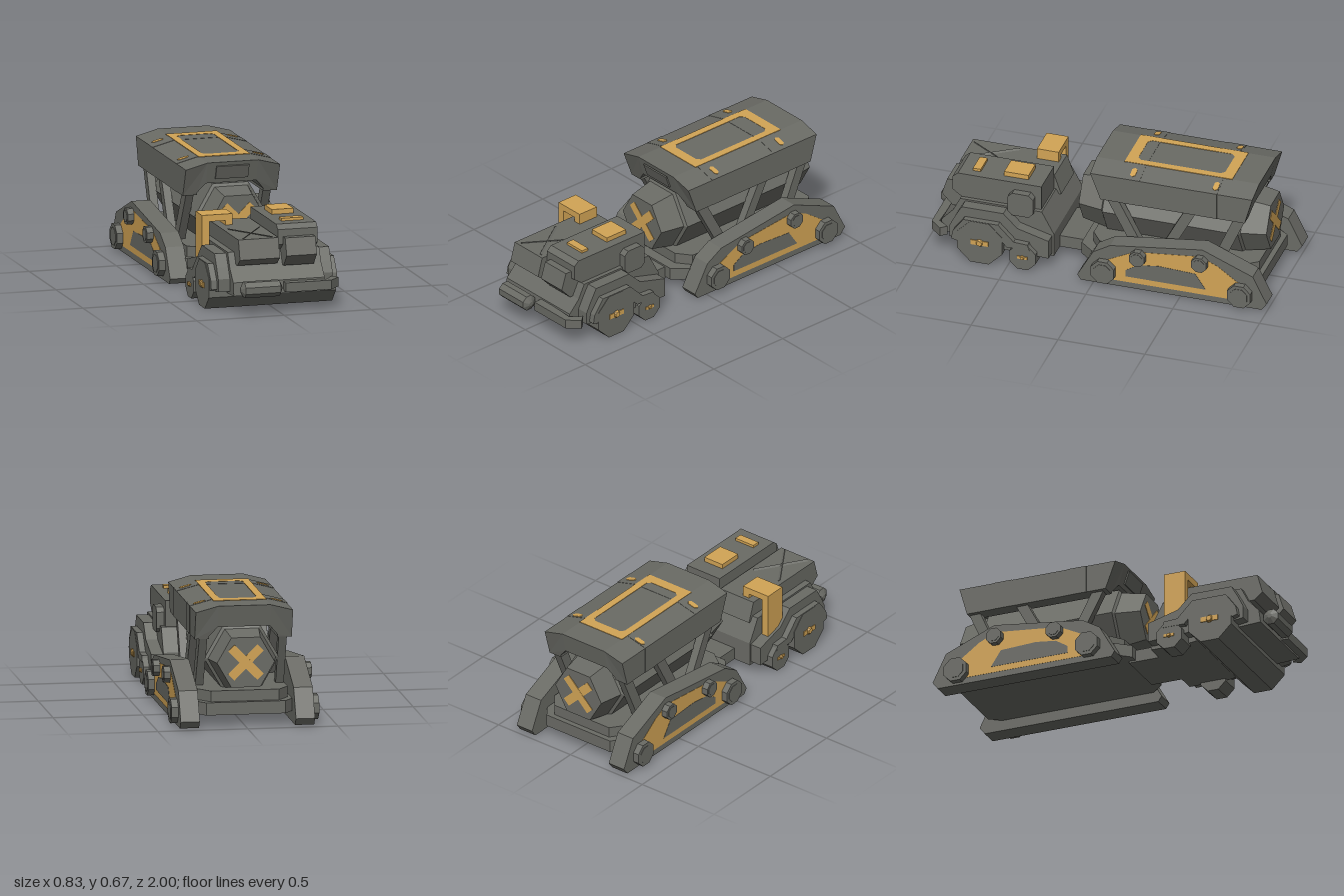
import * as THREE from 'three';

const grey = new THREE.MeshStandardMaterial({ color: 0x6a6b65 });
grey.name = 'gunmetal grey';
const gold = new THREE.MeshStandardMaterial({ color: 0xd2a455 });
gold.name = 'ochre gold';

export function createModel() {
  const root = new THREE.Group();
  root.name = 'armouredTankerTruck';

  // faceted mesh helper
  const add = (name, geo, mat = grey) => {
    const g = geo.index ? geo.toNonIndexed() : geo;
    g.computeVertexNormals();
    const m = new THREE.Mesh(g, mat);
    m.name = name;
    root.add(m);
    return m;
  };
  const box = (name, x0, x1, y0, y1, z0, z1, mat) =>
    add(name, new THREE.BoxGeometry(x1 - x0, y1 - y0, z1 - z0)
      .translate((x0 + x1) / 2, (y0 + y1) / 2, (z0 + z1) / 2), mat);
  const shapeOf = pts => new THREE.Shape(pts.map(p => new THREE.Vector2(p[0], p[1])));
  const extrude = (shape, depth) => new THREE.ExtrudeGeometry(shape, { depth, bevelEnabled: false });
  // side profile of [z, y] points swept from x0 to x1
  const side = (name, pts, x0, x1, mat) =>
    add(name, extrude(shapeOf(pts.map(([z, y]) => [-z, y])), x1 - x0).rotateY(Math.PI / 2).translate(x0, 0, 0), mat);
  // plan outline of [x, z] points swept from y0 to y1
  const plan = (name, pts, y0, y1) =>
    add(name, extrude(shapeOf(pts.map(([x, z]) => [x, -z])), y1 - y0).rotateX(-Math.PI / 2).translate(0, y0, 0));
  // mirrored side profile, x0 < x1 measured on the left
  const pair = (name, pts, x0, x1, mat) => {
    side(name + 'Left', pts, x0, x1, mat);
    side(name + 'Right', pts, -x1, -x0, mat);
  };
  // eight-sided cylinder along x; r is the half width across flats
  const octagon = (r0, r1, width) => {
    const k = 1 / Math.cos(Math.PI / 8);
    return new THREE.CylinderGeometry(r1 * k, r0 * k, width, 8).rotateY(Math.PI / 8).rotateZ(-Math.PI / 2);
  };
  // mirrored discs, r1 is the outer end
  const disc = (name, z, y, r0, r1, x0, x1, mat) => {
    add(name + 'Left', octagon(r0, r1, x1 - x0).translate((x0 + x1) / 2, y, z), mat);
    add(name + 'Right', octagon(r1, r0, x1 - x0).translate(-(x0 + x1) / 2, y, z), mat);
  };
  // square bar between two points
  const bar = (name, a, b, w, d) => {
    const p = new THREE.Vector3(...a), q = new THREE.Vector3(...b);
    const m = add(name, new THREE.BoxGeometry(w, p.distanceTo(q), d));
    m.position.copy(p).add(q).multiplyScalar(0.5);
    m.quaternion.setFromUnitVectors(new THREE.Vector3(0, 1, 0), q.sub(p).normalize());
  };

  // ---- trailer: track pods, side plates and rollers
  pair('trackPod', [[0.07, 0.01], [0.09, 0.04], [0, 0.2], [-0.1, 0.26], [-0.63, 0.33], [-0.92, 0.21],
    [-1, 0.05], [-0.97, 0.01]], 0.267, 0.373);
  pair('trackPlate', [[-0.03, 0.045], [-0.03, 0.14], [-0.24, 0.245], [-0.62, 0.285], [-0.72, 0.24],
    [-0.86, 0.14], [-0.86, 0.045]], 0.37, 0.3745, gold);
  pair('trackInset', [[-0.19, 0.08], [-0.19, 0.12], [-0.26, 0.165], [-0.38, 0.18], [-0.59, 0.17], [-0.65, 0.08]],
    0.372, 0.376);
  for (const [z, y, r] of [[-0.065, 0.1, 0.067], [-0.263, 0.22, 0.044], [-0.62, 0.25, 0.044], [-0.85, 0.09, 0.067]]) {
    disc('trackRoller', z, y, r, r, 0.36, 0.41);
    disc('rollerCap', z, y, r * 0.72, r * 0.72, 0.4, 0.413);
  }

  // ---- trailer chassis, cradle and hitch
  plan('trailerChassis', [[-0.27, 0.04], [-0.2, 0.12], [0.2, 0.12], [0.27, 0.04], [0.27, -0.86], [0.22, -0.93],
    [-0.22, -0.93], [-0.27, -0.86]], 0.07, 0.14);
  plan('tankCradle', [[-0.25, 0], [-0.17, 0.06], [0.17, 0.06], [0.25, 0], [0.25, -0.82], [0.19, -0.9],
    [-0.19, -0.9], [-0.25, -0.82]], 0.13, 0.2);
  box('hitch', -0.155, 0.155, 0.06, 0.13, 0.08, 0.3);

  // ---- hexagonal tank with crosses on both ends
  const tankProfile = [[0, -0.93], [0.16, -0.93], [0.188, -0.79], [0.207, -0.78], [0.207, 0], [0.188, 0.01],
    [0.16, 0.15], [0, 0.15]].map(p => new THREE.Vector2(...p));
  add('tank', new THREE.LatheGeometry(tankProfile, 6, Math.PI / 2).rotateX(Math.PI / 2).translate(0, 0.36, 0));
  for (const z of [0.15, -0.93]) {
    for (const s of [1, -1]) {
      const m = add('tankCross', new THREE.BoxGeometry(0.23, 0.05, 0.006 + s * 0.001), gold);
      m.position.set(0, 0.36, z);
      m.rotation.z = s * Math.PI / 4;
    }
  }

  // ---- canopy: arched section with ends leaning inward towards the bottom
  const section = (g = 0) => [[-0.27 - g, 0.48], [-0.19, 0.48], [-0.19, 0.495], [-0.145, 0.548], [0.145, 0.548],
    [0.19, 0.495], [0.19, 0.48], [0.27 + g, 0.48], [0.27 + g, 0.636 + g], [0.145, 0.669 + g], [-0.145, 0.669 + g],
    [-0.27 - g, 0.636 + g]];
  const canopy = extrude(shapeOf(section()), 1);
  const cp = canopy.attributes.position;
  for (let i = 0; i < cp.count; i++) {
    const lean = Math.max(0, (0.64 - cp.getY(i)) / 0.16);
    cp.setZ(i, cp.getZ(i) > 0.5 ? 0.05 - 0.06 * lean : -0.885 + 0.045 * lean);
  }
  add('canopy', canopy);
  for (const z of [-0.235, -0.68]) add('canopyBand', extrude(shapeOf(section(0.0015)), 0.11).translate(0, 0, z));
  const endPanel = box('canopyEndPanel', -0.095, 0.092, -0.04, 0.04, -0.004, 0.004);
  endPanel.position.set(0, 0.61, 0.04);
  endPanel.rotation.x = 0.35;

  // gold frame and slots on the canopy roof
  const frame = shapeOf([[-0.147, 0.11], [0.147, 0.11], [0.147, 0.73], [-0.147, 0.73]]);
  frame.holes.push(new THREE.Path([[-0.105, 0.19], [-0.085, 0.17], [0.085, 0.17], [0.105, 0.19], [0.105, 0.65],
    [0.085, 0.67], [-0.085, 0.67], [-0.105, 0.65]].map(p => new THREE.Vector2(...p))));
  add('roofFrame', extrude(frame, 0.005).rotateX(-Math.PI / 2).translate(0, 0.667, 0), gold);
  const slot = shapeOf([[-0.034, 0], [-0.022, -0.015], [0.022, -0.015], [0.034, 0], [0.022, 0.015], [-0.022, 0.015]]);
  for (const s of [1, -1]) for (const z of [-0.185, -0.66]) {
    const m = add('roofSlot', extrude(slot, 0.006).rotateX(-Math.PI / 2), gold);
    m.position.set(s * 0.214, 0.6495, z);
    m.rotation.z = -s * 0.258;
  }

  // struts from the cradle up to the canopy
  for (const s of [1, -1]) {
    for (const [zt, zb] of [[-0.06, -0.23], [-0.53, -0.36], [-0.81, -0.67]])
      bar('canopyStrut', [s * 0.222, 0.5, zt], [s * 0.225, 0.18, zb], 0.045, 0.06);
  }

  // ---- tractor body
  side('tractorBody', [[0.26, 0.06], [0.26, 0.2], [0.33, 0.33], [0.8, 0.33], [0.84, 0.25], [0.905, 0.18],
    [0.915, 0.107], [0.78, 0.1], [0.5, 0.06]], -0.262, 0.262);
  pair('upperFender', [[0.27, 0.08], [0.27, 0.19], [0.45, 0.24], [0.53, 0.32], [0.77, 0.32], [0.81, 0.25],
    [0.84, 0.19], [0.84, 0.12], [0.7, 0.1]], 0.25, 0.328);
  pair('wheelArch', [[0.37, 0.13], [0.38, 0.165], [0.46, 0.17], [0.55, 0.262], [0.75, 0.262], [0.81, 0.18],
    [0.82, 0.13], [0.79, 0.12], [0.71, 0.23], [0.6, 0.23], [0.5, 0.13]], 0.3, 0.362);

  // full-width front roller, small rear wheels, gold hubs
  add('frontRoller', octagon(0.129, 0.129, 0.73).translate(0, 0.131, 0.655));
  disc('rearWheel', 0.41, 0.079, 0.075, 0.075, 0.24, 0.36);
  for (const [z, y, r, x] of [[0.655, 0.131, 0.024, 0.365], [0.41, 0.079, 0.014, 0.36]]) {
    disc('hub', z, y, r, r * 0.6, x - 0.004, x + 0.012, gold);
    pair('hubBar', [[z - r * 2.1, y - r * 0.6], [z + r * 2.1, y - r * 0.6], [z + r * 2.1, y + r * 0.6],
      [z - r * 2.1, y + r * 0.6]], x - 0.002, x + 0.005, gold);
  }

  // ---- tractor top: tall cab on the left, lower engine cover on the right
  side('cab', [[0.34, 0.3], [0.34, 0.475], [0.82, 0.475], [0.85, 0.45], [0.85, 0.367], [0.8, 0.33]], 0.01, 0.238);
  side('cabVisor', [[0.8, 0.25], [0.8, 0.41], [0.89, 0.41], [0.92, 0.315], [0.86, 0.25]], 0.04, 0.213);
  side('engineCover', [[0.3, 0.3], [0.34, 0.413], [0.88, 0.413], [0.91, 0.305], [0.86, 0.265], [0.8, 0.265]], -0.225, 0.004);
  for (const s of [1, -1])
    bar('coverBrace', [-0.11 - s * 0.085, 0.413, 0.6], [-0.11 + s * 0.085, 0.413, 0.86], 0.022, 0.004);
  box('roofHatch', 0.062, 0.187, 0.47, 0.502, 0.43, 0.57, gold);
  box('roofLight', 0.062, 0.187, 0.47, 0.49, 0.705, 0.75, gold);
  side('sidePod', [[0.375, 0.315], [0.4, 0.29], [0.495, 0.29], [0.52, 0.315], [0.52, 0.405], [0.495, 0.43],
    [0.4, 0.43], [0.375, 0.405]], 0.22, 0.28);

  // gold intake pipe bent over the right side
  add('intakePipe', extrude(shapeOf([[-0.312, 0.2], [-0.27, 0.2], [-0.27, 0.438], [-0.178, 0.438], [-0.178, 0.4],
    [-0.137, 0.4], [-0.137, 0.475], [-0.312, 0.475]]), 0.125).translate(0, 0, 0.36), gold);

  // ---- front bumpers
  add('bumperRoll', octagon(0.043, 0.043, 0.2).translate(-0.118, 0.149, 0.957));
  add('bumperRollEnd', octagon(0.043, 0.012, 0.018).translate(-0.009, 0.149, 0.957));
  add('bumperRollEnd', octagon(0.012, 0.043, 0.018).translate(-0.227, 0.149, 0.957));
  plan('bumperBar', [[0.025, 0.955], [0.285, 0.955], [0.345, 0.89], [0.315, 0.855], [0.27, 0.915], [0.025, 0.9]], 0.12, 0.172);

  return root;
}
